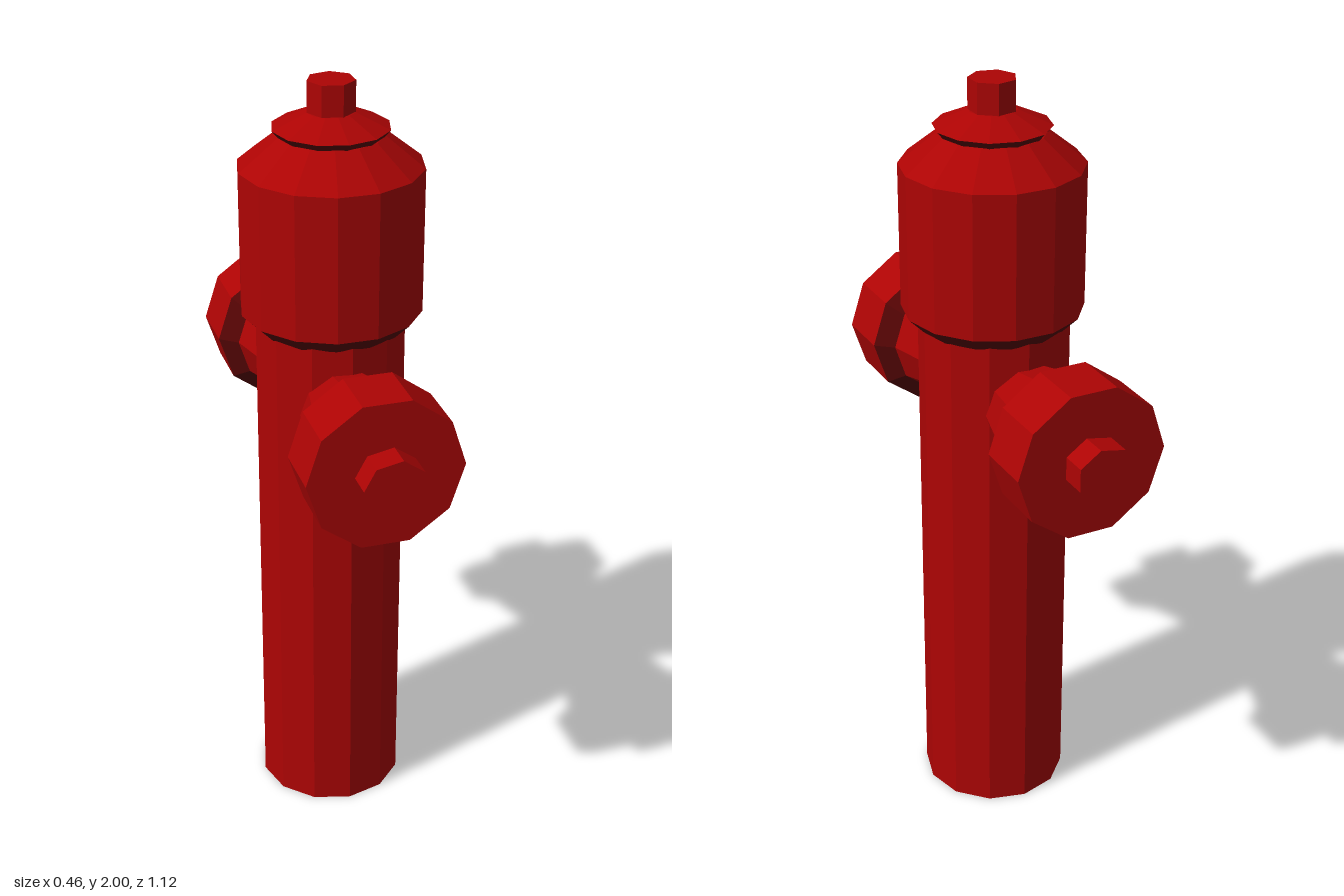
import * as THREE from 'three';

function material(name, color) {
  const result = new THREE.MeshStandardMaterial({ color });
  result.name = name;
  return result;
}
const red = material('hydrant red', 0xad0404);
const darkRed = material('dark red', 0x5a0505);

// Faceted surface turned about y from [radius, height] pairs, first corner on -x
function turned(name, sides, profile, paint = red) {
  const points = profile.map(([r, y]) => new THREE.Vector2(r, y));
  const geometry = new THREE.LatheGeometry(points, sides, -Math.PI / 2).toNonIndexed();
  geometry.computeVertexNormals();
  const mesh = new THREE.Mesh(geometry, paint);
  mesh.name = name;
  return mesh;
}

// Side outlet: flared neck, cap with dark chamfer, and nut, built along y
function outlet(name, direction) {
  const group = new THREE.Group();
  group.name = name;
  const nut = turned('outletNut', 7, [[0, 0.48], [0.078, 0.48], [0.078, 0.56], [0, 0.56]]);
  nut.scale.z = 0.88;
  nut.position.z = direction * -0.005;
  group.add(
    turned('outletNeck', 10, [[0, 0.1], [0.098, 0.1], [0.152, 0.305], [0, 0.305]]),
    turned('outletChamfer', 10, [[0.15, 0.302], [0.197, 0.34]], darkRed),
    turned('outletCap', 10, [[0, 0.34], [0.197, 0.34], [0.197, 0.492], [0, 0.492]]),
    nut,
  );
  group.rotation.x = direction * Math.PI / 2;
  group.position.set(-0.014, 1.2, 0);
  return group;
}

export function createModel() {
  const model = new THREE.Group();
  model.name = 'fireHydrant';

  // Standing barrel
  const barrel = turned('barrel', 12, [[0, 0], [0.192, 0], [0.192, 1.4], [0, 1.4]]);
  barrel.position.x = -0.003;

  model.add(
    barrel,
    // Wide head with dark lower rim and sloping shoulder
    turned('headRim', 14, [[0.19, 1.38], [0.23, 1.42]], darkRed),
    turned('head', 14, [[0, 1.42], [0.23, 1.42], [0.23, 1.79], [0.132, 1.868], [0, 1.868]]),
    // Overhanging collar with dark underside
    turned('collarUnderside', 12, [[0.128, 1.864], [0.146, 1.885]], darkRed),
    turned('collar', 12, [[0, 1.885], [0.146, 1.885], [0.06, 1.923], [0, 1.923]]),
    // Operating nut
    turned('topNut', 7, [[0, 1.91], [0.06, 1.91], [0.06, 2], [0, 2]]),
    // Front and back outlets
    outlet('frontOutlet', 1),
    outlet('backOutlet', -1),
  );

  return model;
}
